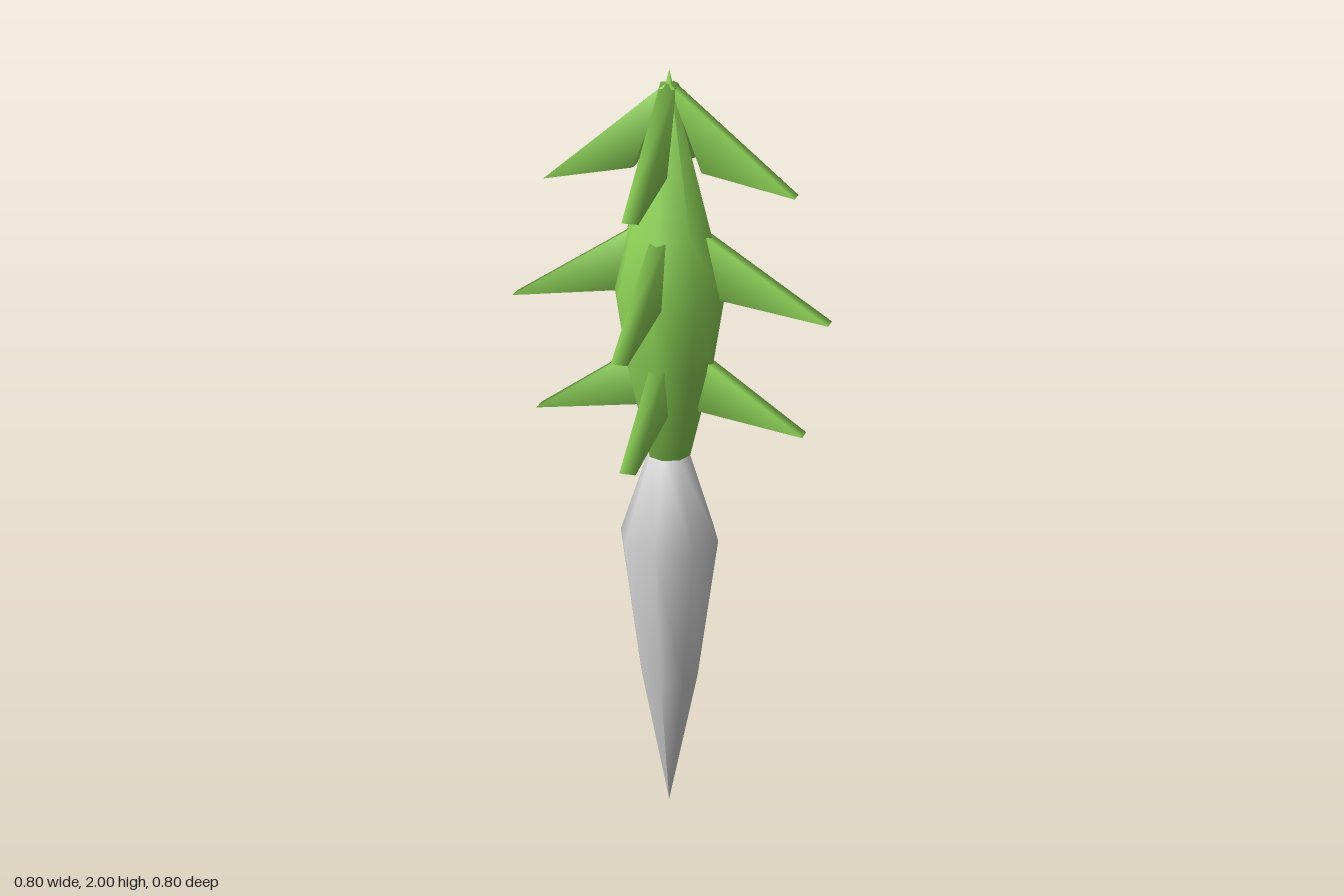
import * as THREE from 'three';
import { mergeVertices } from 'three/addons/utils/BufferGeometryUtils.js';

const leafGreen = new THREE.MeshStandardMaterial({ color: 0x90d658 });
leafGreen.name = 'leaf green';
const paleGrey = new THREE.MeshStandardMaterial({ color: 0xd6d6d6 });
paleGrey.name = 'pale grey';

// Eight-sided spindle turned from a [radius, height] profile
function spindle(name, profile, material) {
  const points = profile.map(([r, y]) => new THREE.Vector2(r, y));
  const mesh = new THREE.Mesh(new THREE.LatheGeometry(points, 8), material);
  mesh.name = name;
  return mesh;
}

// Thin triangular leaf pointing along +x, with softened normals
function leafGeometry(corners) {
  const shape = new THREE.Shape(corners.map(([x, y]) => new THREE.Vector2(x, y)));
  const prism = new THREE.ExtrudeGeometry(shape, { depth: 0.04, bevelEnabled: false });
  prism.translate(0, 0, -0.02);
  prism.deleteAttribute('normal');
  prism.deleteAttribute('uv');
  const geometry = mergeVertices(prism);
  geometry.computeVertexNormals();
  return geometry;
}

export function createModel() {
  const model = new THREE.Group();
  model.name = 'spikedPlant';

  model.add(spindle('root', [
    [0, 0], [0.078, 0.4], [0.13, 0.8], [0.054, 1.03], [0, 1.03],
  ], paleGrey));

  model.add(spindle('stalk', [
    [0, 1.03], [0.055, 1.03], [0.109, 1.26], [0.14, 1.46], [0.105, 1.61], [0, 2],
  ], leafGreen));

  // Three tiers of four leaves: inner top, lower inner corner, tip
  const tiers = {
    lowerLeaf: [[0.06, 1.317], [0.08, 1.16], [0.345, 1.12]],
    middleLeaf: [[0.06, 1.632], [0.125, 1.455], [0.4, 1.415]],
    upperLeaf: [[0.005, 1.97], [0.085, 1.765], [0.31, 1.72]],
  };
  for (const [name, corners] of Object.entries(tiers)) {
    const geometry = leafGeometry(corners);
    for (let i = 0; i < 4; i++) {
      const leaf = new THREE.Mesh(geometry, leafGreen);
      leaf.name = name;
      leaf.rotation.y = (i * Math.PI) / 2;
      model.add(leaf);
    }
  }
  return model;
}
